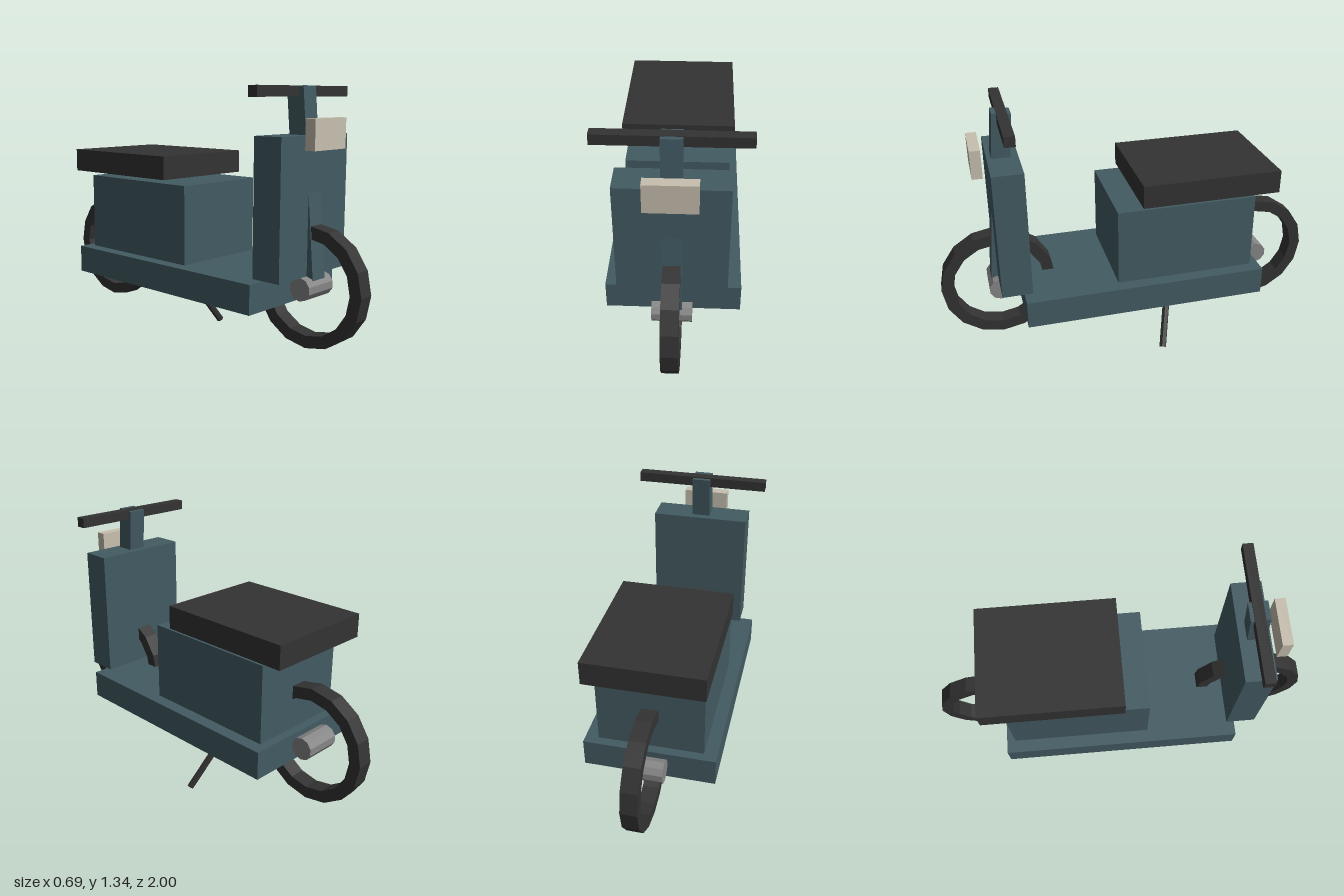
import * as THREE from 'three';

const paint = (name, color) => {
  const m = new THREE.MeshStandardMaterial({ color, flatShading: true });
  m.name = name;
  return m;
};

export function createModel() {
  const scooter = new THREE.Group();
  scooter.name = 'scooter';
  const teal = paint('teal paint', 0x435b63);
  const black = paint('black rubber', 0x333333);
  const steel = paint('grey steel', 0x868686);
  const cream = paint('cream lamp', 0xc8c0b0);

  const add = (name, geometry, material, x, y, z) => {
    const mesh = new THREE.Mesh(geometry, material);
    mesh.name = name;
    mesh.position.set(x, y, z);
    scooter.add(mesh);
    return mesh;
  };
  // Box centred on x = 0, given its half width and its y and z ranges
  const slab = (name, material, halfW, y0, y1, z0, z1) =>
    add(name, new THREE.BoxGeometry(halfW * 2, y1 - y0, z1 - z0), material,
      0, (y0 + y1) / 2, (z0 + z1) / 2);

  // Body
  slab('footDeck', teal, 0.327, 0.32, 0.463, -0.64, 0.6);
  slab('rearBody', teal, 0.262, 0.46, 0.861, -0.595, 0.123);
  slab('seat', black, 0.285, 0.882, 1.0, -0.712, 0);
  slab('legShield', teal, 0.256, 0.47, 1.122, 0.558, 0.71);

  // Steering
  const column = add('steeringColumn', new THREE.BoxGeometry(0.095, 0.895, 0.092),
    teal, 0, 0.894, 0.661);
  column.rotation.x = -0.085;
  slab('handlebar', black, 0.345, 1.293, 1.343, 0.595, 0.646);
  slab('headlight', cream, 0.12, 1.058, 1.2, 0.738, 0.79);

  // Wheels: flat sixteen-sided rings and ten-sided hubs
  const ring = [[0.235, -0.041], [0.295, -0.041], [0.295, 0.041], [0.235, 0.041], [0.235, -0.041]]
    .map(([r, h]) => new THREE.Vector2(r, h));
  const tyre = new THREE.LatheGeometry(ring, 16).rotateZ(Math.PI / 2);
  const hub = new THREE.CylinderGeometry(0.057, 0.057, 0.19, 10, 1, false, Math.PI / 2)
    .rotateZ(Math.PI / 2);
  for (const [side, z] of [['front', 0.705], ['rear', -0.705]]) {
    add(side + 'Tyre', tyre, black, 0, 0.416, z);
    add(side + 'Hub', hub, steel, 0, 0.416, z);
  }

  // Kickstand leaning out to the left
  const top = new THREE.Vector3(0.044, 0.36, -0.216);
  const foot = new THREE.Vector3(0.27, 0.012, -0.12);
  const axis = top.clone().sub(foot);
  const mid = top.clone().add(foot).multiplyScalar(0.5);
  const stand = add('kickstand', new THREE.CylinderGeometry(0.019, 0.019, axis.length(), 6),
    black, mid.x, mid.y, mid.z);
  stand.quaternion.setFromUnitVectors(new THREE.Vector3(0, 1, 0), axis.normalize());

  return scooter;
}
